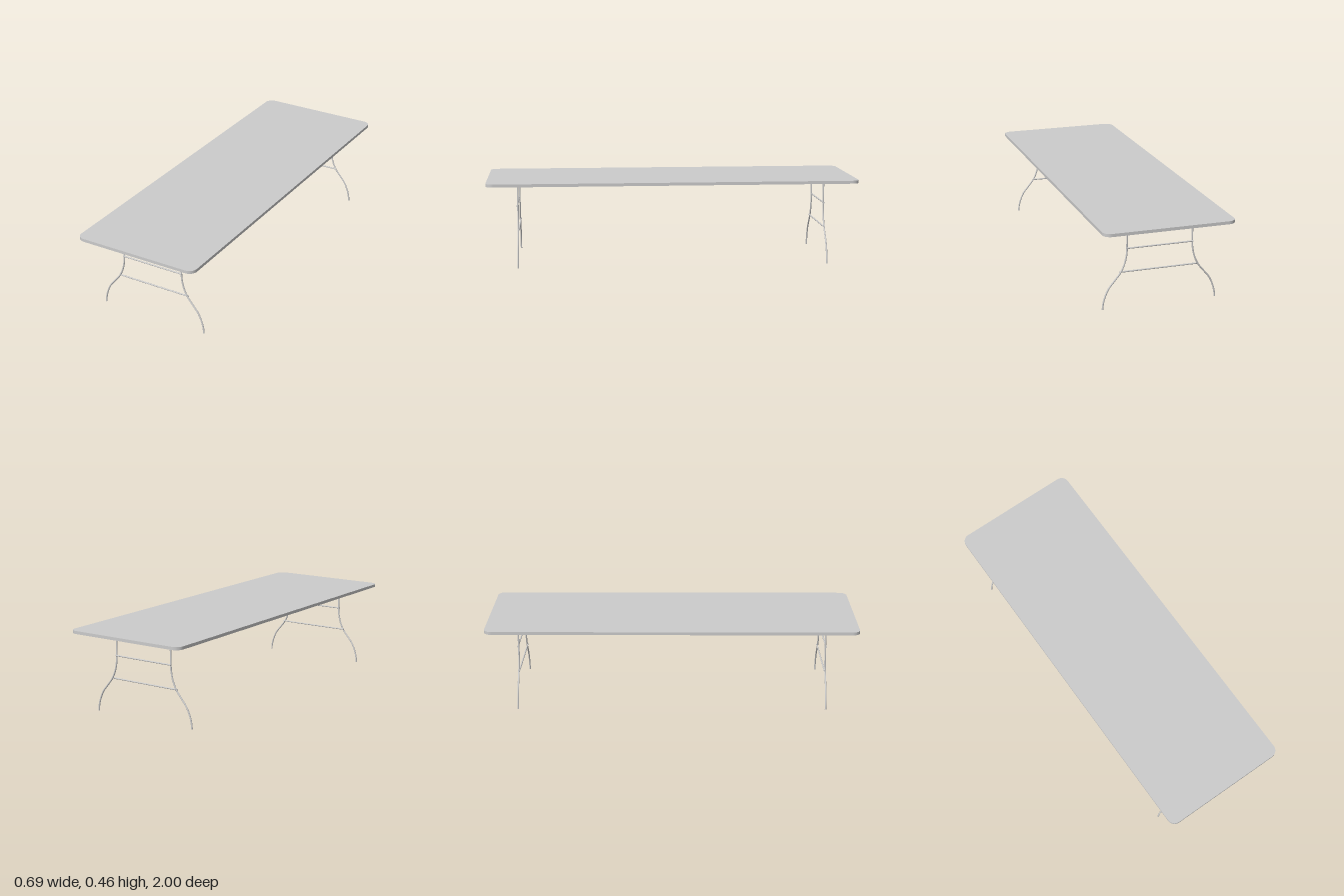
import * as THREE from 'three';

const material = new THREE.MeshStandardMaterial({ color: 0xcccccc });
const HALF_W = 0.345, TOP = 0.458, BOTTOM = 0.442, PANEL = 0.452;
const TUBE = 0.0043, LEG_Z = 0.835;

// Rounded rectangle, shrunk inwards by an inset
function outline(inset, Kind = THREE.Shape) {
  const w = HALF_W - inset, l = 1 - inset, r = 0.042 - inset;
  const s = new Kind();
  s.moveTo(w, -l + r);
  s.lineTo(w, l - r);
  s.absarc(w - r, l - r, r, 0, Math.PI / 2);
  s.absarc(-w + r, l - r, r, Math.PI / 2, Math.PI);
  s.absarc(-w + r, -l + r, r, Math.PI, Math.PI * 1.5);
  s.absarc(w - r, -l + r, r, Math.PI * 1.5, Math.PI * 2);
  return s;
}

function add(parent, name, geometry) {
  const mesh = new THREE.Mesh(geometry, material);
  mesh.name = name;
  parent.add(mesh);
  return mesh;
}

// Horizontal slab between two heights
function slab(parent, name, shape, y0, y1) {
  const g = new THREE.ExtrudeGeometry(shape, { depth: y1 - y0, bevelEnabled: false, curveSegments: 6 });
  g.rotateX(-Math.PI / 2).translate(0, y0, 0);
  return add(parent, name, g);
}

function crossbar(parent, name, halfLength, y, z) {
  const g = new THREE.CylinderGeometry(0.004, 0.004, halfLength * 2, 12);
  g.rotateZ(Math.PI / 2).translate(0, y, z);
  return add(parent, name, g);
}

// One bent tube leg; side is +1 (left) or -1 (right)
function leg(parent, side) {
  const bend = [
    [0.1735, 0.315], [0.176, 0.28], [0.186, 0.235], [0.206, 0.19], [0.239, 0.148],
    [0.270, 0.109], [0.291, 0.062], [0.3, 0.025], [0.302, 0],
  ].map(([x, y]) => new THREE.Vector3(side * x, y, 0));
  const name = side > 0 ? 'leftLeg' : 'rightLeg';
  const group = new THREE.Group();
  group.name = name;
  parent.add(group);
  add(group, name + 'Bend', new THREE.TubeGeometry(new THREE.CatmullRomCurve3(bend), 40, TUBE, 12));
  const post = new THREE.CylinderGeometry(TUBE, TUBE, PANEL - 0.315, 12, 1, true);
  add(group, name + 'Post', post.translate(side * 0.1735, (PANEL + 0.315) / 2, 0));
  const foot = new THREE.CircleGeometry(TUBE, 12).rotateX(Math.PI / 2);
  add(group, name + 'Foot', foot.translate(side * 0.302, 0, 0));
}

export function createModel() {
  const table = new THREE.Group();
  table.name = 'foldingTable';

  // Table top: thin panel with a downward rim around a hollow underside
  const top = new THREE.Group();
  top.name = 'tableTop';
  table.add(top);
  slab(top, 'panel', outline(0), PANEL, TOP);
  const rim = outline(0);
  rim.holes.push(outline(0.01, THREE.Path));
  slab(top, 'rim', rim, BOTTOM, PANEL);

  // Leg frames at both ends, mirrored by a half turn
  for (const end of [1, -1]) {
    const frame = new THREE.Group();
    frame.name = end > 0 ? 'frontLegFrame' : 'backLegFrame';
    leg(frame, 1);
    leg(frame, -1);
    crossbar(frame, 'upperCrossbar', 0.178, 0.315, 0.004);
    crossbar(frame, 'lowerCrossbar', 0.212, 0.19, -0.004);
    frame.position.z = end * LEG_Z;
    if (end < 0) frame.rotation.y = Math.PI;
    table.add(frame);
  }
  return table;
}
